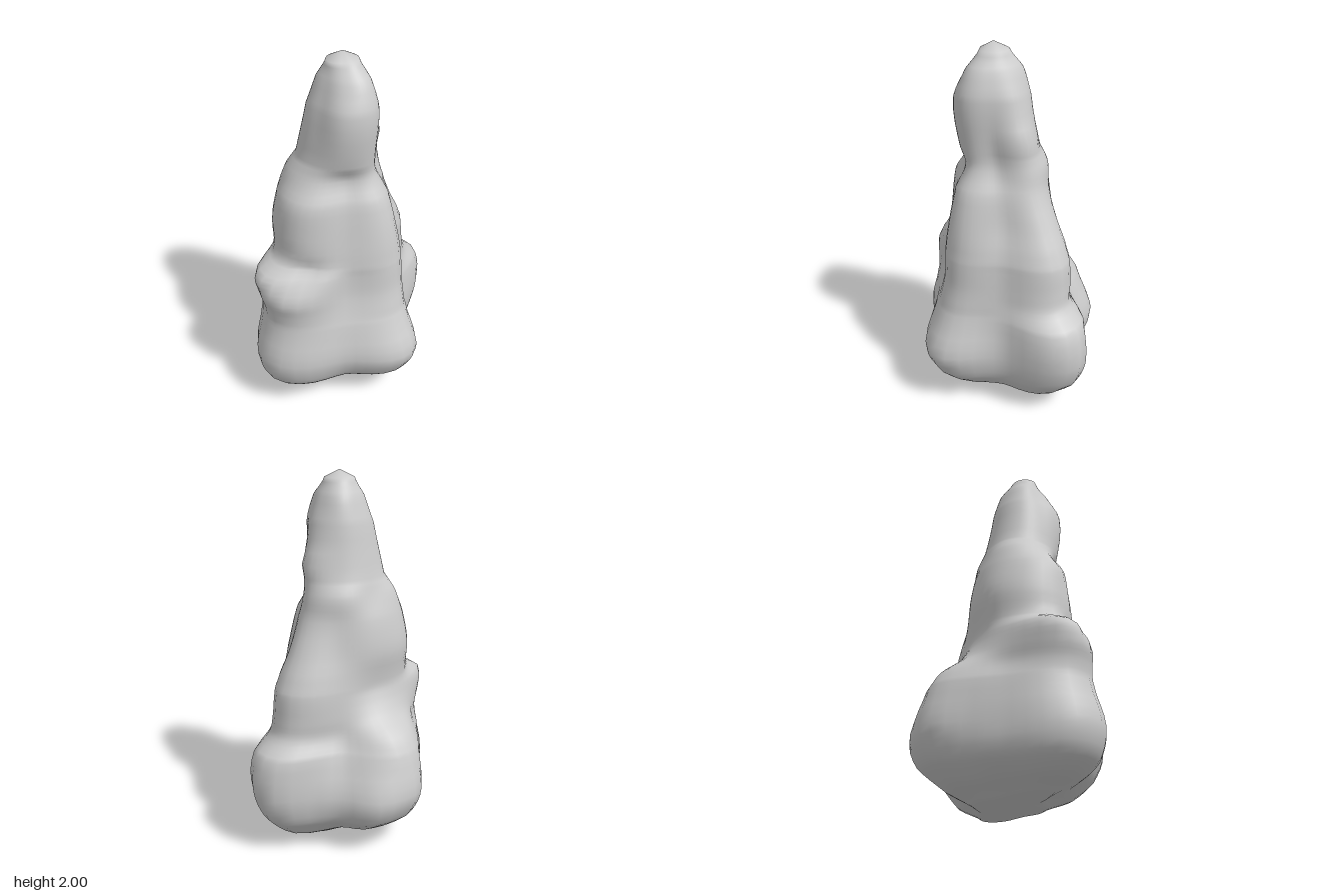
import * as THREE from 'three';

// Each row: height, then radii toward +x, +x+z, +z, -x+z, -x, -x-z, -z, +x-z
const RINGS = [
  [0.03, .14, .18, .13, .25, .16, .20, .16, .24],
  [0.10, .28, .36, .28, .45, .32, .37, .28, .43],
  [0.20, .36, .48, .39, .57, .44, .50, .40, .55],
  [0.35, .38, .54, .44, .60, .46, .56, .43, .60],
  [0.56, .35, .45, .40, .54, .44, .51, .36, .57],
  [0.65, .33, .42, .37, .54, .41, .45, .31, .47],
  [0.74, .32, .40, .35, .56, .40, .34, .30, .45],
  [0.85, .31, .39, .34, .54, .38, .27, .29, .44],
  [0.92, .30, .38, .33, .42, .36, .26, .28, .42],
  [1.08, .25, .35, .30, .40, .37, .28, .25, .34],
  [1.25, .22, .29, .25, .36, .34, .27, .24, .27],
  [1.37, .17, .21, .18, .26, .30, .24, .25, .25],
  [1.46, .16, .20, .20, .21, .24, .22, .22, .23],
  [1.73, .17, .21, .20, .16, .18, .18, .19, .19],
  [1.87, .13, .16, .13, .11, .13, .13, .15, .13],
  [1.96, .08, .08, .07, .08, .08, .08, .08, .08],
];
// Swellings and hollows: angle in degrees, height, depth, spread in angle and height
const LUMPS = [
  [-67, .35, -.05, 13, .25],
  [-110, .26, .05, 13, .20],
  [-157, .35, -.03, 13, .25],
  [-28, .48, .03, 13, .16],
  [22, .35, -.03, 13, .30],
  [150, .84, .03, 13, .08],
  [122, .86, -.06, 13, .07],
  [-40, 1.53, .03, 30, .07],
];
const SEGMENTS = 48, STEPS = 4;

// Smooth interpolation between b and c
function spline(a, b, c, d, t) {
  const m0 = (c - a) / 2, m1 = (d - b) / 2;
  const t2 = t * t, t3 = t2 * t;
  return (2 * t3 - 3 * t2 + 1) * b + (t3 - 2 * t2 + t) * m0
    + (3 * t2 - 2 * t3) * c + (t3 - t2) * m1;
}

// Radius of one ring at a position around it, 0 to 8
function ringRadius(row, u) {
  const i = Math.floor(u), r = k => row[1 + (i + k + 8) % 8];
  return spline(r(-1), r(0), r(1), r(2), u - i);
}

// Total swelling at an angle and height
function swelling(angle, y) {
  return LUMPS.reduce((sum, [degrees, height, depth, spread, rise]) => {
    const turn = angle - THREE.MathUtils.degToRad(degrees);
    const da = Math.atan2(Math.sin(turn), Math.cos(turn)) / THREE.MathUtils.degToRad(spread);
    const dy = (y - height) / rise;
    return sum + depth * Math.exp(-da * da - dy * dy);
  }, 0);
}

// The upper foliage leans slightly to the front
const lean = y => 0.07 * THREE.MathUtils.smoothstep(y, 1, 1.7);

// The underside hangs lower toward the back left
const sag = (angle, y) =>
  -0.03 * Math.cos(angle + Math.PI / 4) * (1 - THREE.MathUtils.smoothstep(y, 0.03, 0.2));

function foliageGeometry() {
  const points = [], index = [];
  const last = RINGS.length - 1;
  const row = i => RINGS[THREE.MathUtils.clamp(i, 0, last)];
  const count = last * STEPS + 1;
  for (let j = 0; j < count; j++) {
    const i = Math.min(Math.floor(j / STEPS), last - 1), t = j / STEPS - i;
    const y = THREE.MathUtils.lerp(row(i)[0], row(i + 1)[0], t);
    for (let s = 0; s < SEGMENTS; s++) {
      const u = s / SEGMENTS * 8, angle = s / SEGMENTS * Math.PI * 2;
      const r = spline(...[-1, 0, 1, 2].map(k => ringRadius(row(i + k), u)), t) + swelling(angle, y);
      points.push(Math.cos(angle) * r, y + sag(angle, y), Math.sin(angle) * r + lean(y));
    }
  }
  // Hollow underside and tip
  const bottom = count * SEGMENTS, top = bottom + 1;
  points.push(-0.02, 0.05, 0.03, 0, 2, 0.07);
  for (let s = 0; s < SEGMENTS; s++) {
    const n = (s + 1) % SEGMENTS;
    for (let j = 0; j < count - 1; j++) {
      const a = j * SEGMENTS, b = a + SEGMENTS;
      index.push(a + s, b + s, a + n, a + n, b + s, b + n);
    }
    const end = (count - 1) * SEGMENTS;
    index.push(bottom, s, n, top, end + n, end + s);
  }
  const geometry = new THREE.BufferGeometry();
  geometry.setAttribute('position', new THREE.Float32BufferAttribute(points, 3));
  geometry.setIndex(index);
  geometry.computeVertexNormals();
  return geometry;
}

export function createModel() {
  const group = new THREE.Group();
  group.name = 'bush';
  const foliage = new THREE.Mesh(foliageGeometry(), new THREE.MeshStandardMaterial({ color: 0xcccccc }));
  foliage.name = 'foliage';
  group.add(foliage);
  return group;
}
